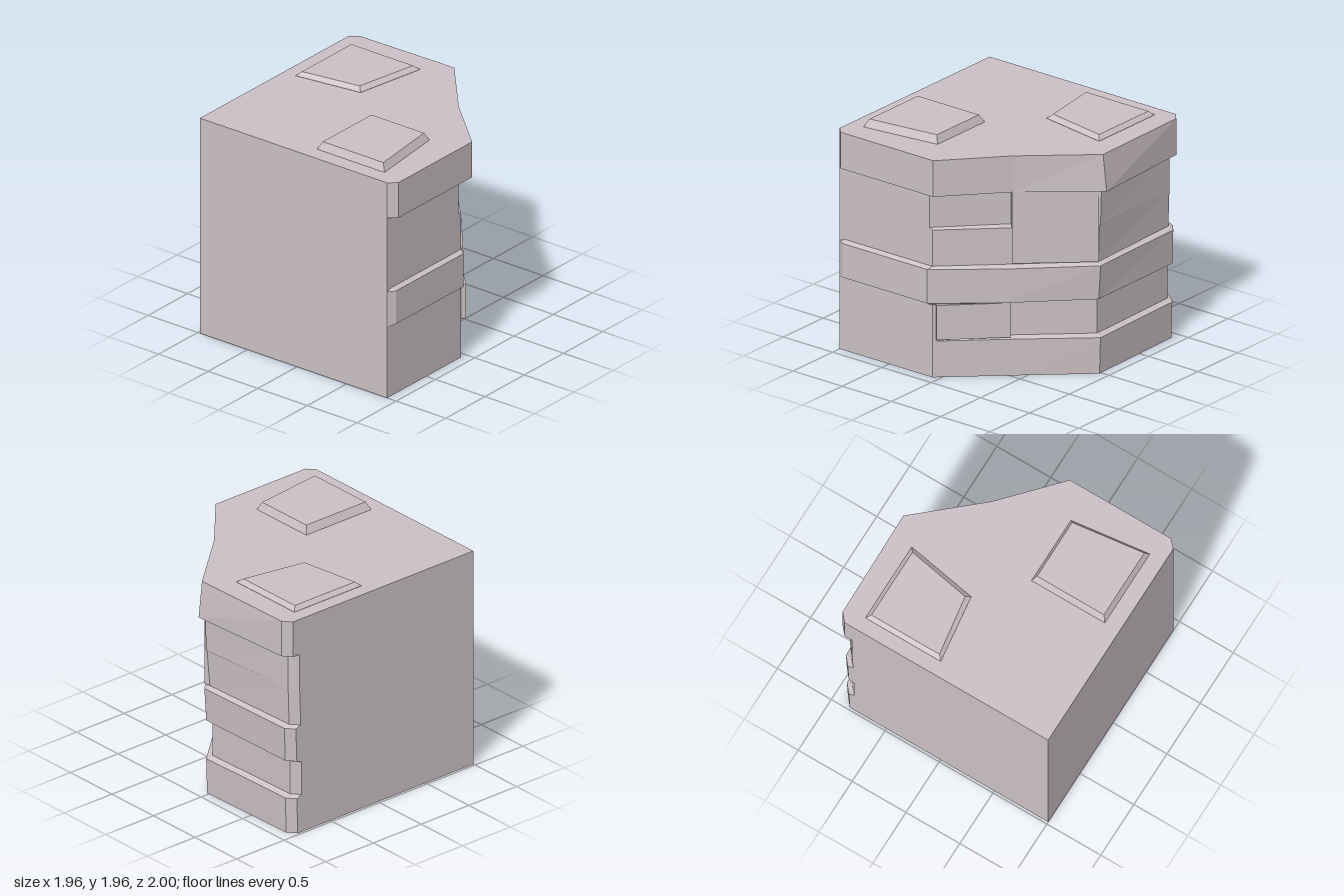
import * as THREE from 'three';

const material = new THREE.MeshStandardMaterial({ color: 0xcbc0c5, flatShading: true });

// Solid through stacked outlines; each level is { y, pts: [[x, z], ...] }, counter-clockwise from above
function loft(name, levels) {
  const pos = [];
  const put = (level, i) => {
    const p = level.pts[i % level.pts.length];
    pos.push(p[0], level.y, p[1]);
  };
  for (let k = 0; k + 1 < levels.length; k++) {
    const lo = levels[k], hi = levels[k + 1];
    for (let i = 0; i < lo.pts.length; i++) {
      put(lo, i); put(lo, i + 1); put(hi, i + 1);
      put(lo, i); put(hi, i + 1); put(hi, i);
    }
  }
  const cap = (level, up) => {
    const flat = level.pts.map(([x, z]) => new THREE.Vector2(x, -z));
    for (const [a, b, c] of THREE.ShapeUtils.triangulateShape(flat, [])) {
      for (const i of up ? [a, b, c] : [a, c, b]) put(level, i);
    }
  };
  cap(levels[0], false);
  cap(levels[levels.length - 1], true);
  const geometry = new THREE.BufferGeometry();
  geometry.setAttribute('position', new THREE.Float32BufferAttribute(pos, 3));
  geometry.computeVertexNormals();
  const mesh = new THREE.Mesh(geometry, material);
  mesh.name = name;
  return mesh;
}

// Block outline: flat front and left, rough right face, slanted corner (via mid) and back face
function ring(y, right, rightZ, mid, corner, backZ) {
  return {
    y,
    pts: [[-0.98, 1], [0.91, 1], [right, 0.94], [right, rightZ], mid, corner,
      [-0.91, backZ], [-0.98, backZ + 0.06]],
  };
}

// Raised stone on the slanted corner, from a to b, bevelled underneath
function cornerStone(name, y0, y1, a, b) {
  const outline = (d) => [
    [a[0] - d, a[1] + d], [b[0] - d, b[1] + d],
    [b[0] - 0.12, b[1] + 0.12], [a[0] - 0.12, a[1] + 0.12],
  ];
  return loft(name, [
    { y: y0, pts: outline(0.03) },
    { y: y0 + 0.015, pts: outline(0) },
    { y: y1, pts: outline(0) },
  ]);
}

export function createModel() {
  const model = new THREE.Group();
  model.name = 'stoneCornerBlock';

  // Body with alternating raised and recessed courses
  model.add(loft('body', [
    ring(0, 0.91, 0.06, [0.48, -0.41], [0.02, -0.92], -0.9),
    ring(0.31, 0.91, 0.06, [0.48, -0.41], [0.02, -0.93], -0.91),
    ring(0.33, 0.91, 0.06, [0.45, -0.38], [0, -0.88], -0.86),
    ring(0.62, 0.91, 0.06, [0.45, -0.38], [0, -0.88], -0.86),
    ring(0.64, 0.95, 0.08, [0.55, -0.4], [0.03, -0.92], -0.91),
    ring(0.93, 0.95, 0.08, [0.55, -0.4], [0.03, -0.94], -0.92),
    ring(0.95, 0.91, 0.06, [0.48, -0.4], [0.01, -0.9], -0.87),
    ring(1.26, 0.91, 0.06, [0.48, -0.4], [0.02, -0.92], -0.88),
    ring(1.275, 0.91, 0.09, [0.44, -0.37], [0.02, -0.93], -0.88),
    ring(1.58, 0.91, 0.09, [0.44, -0.37], [0.02, -0.94], -0.88),
  ]));

  // Overhanging slab at the top
  model.add(loft('topSlab', [
    ring(1.58, 0.975, 0, [0.5, -0.43], [0.03, -1], -0.95),
    ring(1.89, 0.975, 0, [0.5, -0.43], [0.03, -0.965], -0.95),
  ]));

  // Stones on the slanted corner
  model.add(cornerStone('lowerCornerStone', 0.32, 0.63, [0.92, 0.01], [0.51, -0.41]));
  model.add(cornerStone('upperCornerStone', 0.95, 1.58, [0.5, -0.42], [0.04, -0.93]));

  // Bevelled paving stones on the top
  const pavers = [
    ['backPaver', 1.925,
      [[-0.86, -0.07], [-0.27, -0.15], [-0.16, -0.77], [-0.86, -0.77]],
      [[-0.825, -0.105], [-0.305, -0.185], [-0.205, -0.735], [-0.825, -0.735]]],
    ['frontPaver', 1.955,
      [[0.095, 0.865], [0.775, 0.865], [0.69, 0.185], [0.095, 0.185]],
      [[0.13, 0.835], [0.74, 0.835], [0.66, 0.215], [0.13, 0.215]]],
  ];
  for (const [name, y, base, top] of pavers) {
    model.add(loft(name, [{ y: 1.88, pts: base }, { y: 1.892, pts: base }, { y, pts: top }]));
  }
  return model;
}
